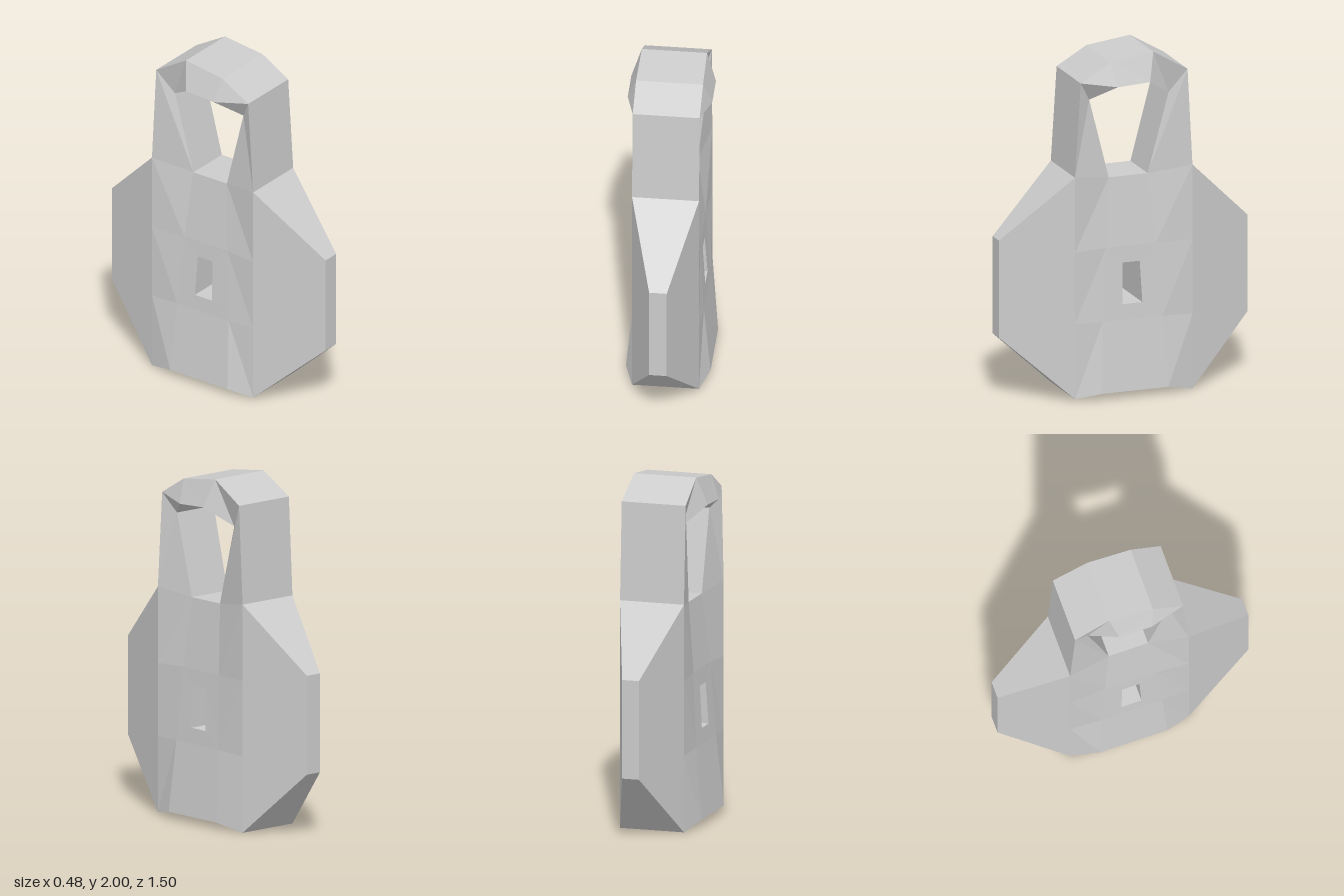
import * as THREE from 'three';

// Corner points of the left side: [z, y, x]. The right side mirrors x.
const P = {
  // front and back wing tips
  A: [0.75, 0.945, 0.05], B: [0.75, 0.375, 0.05],
  C: [-0.75, 0.945, 0.05], D: [-0.75, 0.375, 0.05],
  // outer and inner columns of the front half, bottom to top
  F0: [0.345, 0.01, 0.19], F1: [0.345, 0.45, 0.19], F2: [0.345, 0.87, 0.19], F3: [0.345, 1.31, 0.19],
  f0: [0.2, 0.04, 0.24], f1: [0.18, 0.45, 0.2], f2: [0.15, 0.875, 0.175], f3: [0.12, 1.275, 0.135],
  // the same columns of the back half
  G0: [-0.365, 0, 0.19], G1: [-0.365, 0.44, 0.19], G2: [-0.365, 0.875, 0.19], G3: [-0.365, 1.315, 0.19],
  g0: [-0.2, 0.04, 0.24], g1: [-0.18, 0.45, 0.2], g2: [-0.15, 0.875, 0.175], g3: [-0.115, 1.275, 0.135],
  // small opening through the body
  p1: [0.06, 0.54, 0.195], q1: [-0.06, 0.54, 0.195], p2: [0.053, 0.78, 0.18], q2: [-0.05, 0.78, 0.18],
  // handle arch, outer (o) and inner (i), front to back
  o1: [0.31, 1.86, 0.19], o2: [0.13, 1.965, 0.19], o3: [-0.13, 2, 0.185], o4: [-0.335, 1.88, 0.19],
  i1: [0.24, 1.745, 0.14], i2: [0.105, 1.83, 0.24], i3: [-0.09, 1.84, 0.24], i4: [-0.24, 1.74, 0.14],
};

// Side faces of each part, counter-clockwise as seen from the left side
const PARTS = {
  body: [
    'A B F0 F1 F2 F3', 'D C G3 G2 G1 G0',
    'F0 f0 f1 F1', 'F1 f1 f2 F2', 'F2 f2 f3 F3',
    'g0 G0 G1 g1', 'g1 G1 G2 g2', 'g2 G2 G3 g3',
    'f0 g0 g1 f1', 'f2 g2 g3 f3',
    'f1 g1 q1 p1', 'g1 g2 q2 q1', 'g2 f2 p2 q2', 'f2 f1 p1 p2',
  ],
  handle: ['F3 f3 i1 o1', 'o1 i1 i2 o2', 'o2 i2 i3 o3', 'o3 i3 i4 o4', 'o4 i4 g3 G3'],
};

const left = (k) => [P[k][2], P[k][1], P[k][0]];
const right = (k) => [-P[k][2], P[k][1], P[k][0]];
const split = (face) => face.split(' ');
const edgesOf = (f) => f.map((k, i) => [k, f[(i + 1) % f.length]]);

export function createModel() {
  const group = new THREE.Group();
  const material = new THREE.MeshStandardMaterial({ color: 0xcccccc, flatShading: true });
  const used = new Set(Object.values(PARTS).flat().flatMap((s) => edgesOf(split(s)).map((e) => e.join())));

  for (const [name, faces] of Object.entries(PARTS)) {
    const positions = [];
    const addPolygon = (pts) => {
      for (let i = 1; i < pts.length - 1; i++) positions.push(...pts[0], ...pts[i], ...pts[i + 1]);
    };
    for (const f of faces.map(split)) {
      // both sides
      addPolygon(f.map(left));
      const m = f.map(right);
      addPolygon([m[0], ...m.slice(1).reverse()]);
      // rim walls across the thickness, wherever an edge has no neighbour
      for (const [a, b] of edgesOf(f)) {
        if (!used.has([b, a].join())) addPolygon([left(b), left(a), right(a), right(b)]);
      }
    }
    const geometry = new THREE.BufferGeometry();
    geometry.setAttribute('position', new THREE.Float32BufferAttribute(positions, 3));
    geometry.computeVertexNormals();
    const mesh = new THREE.Mesh(geometry, material);
    mesh.name = name;
    group.add(mesh);
  }
  return group;
}
